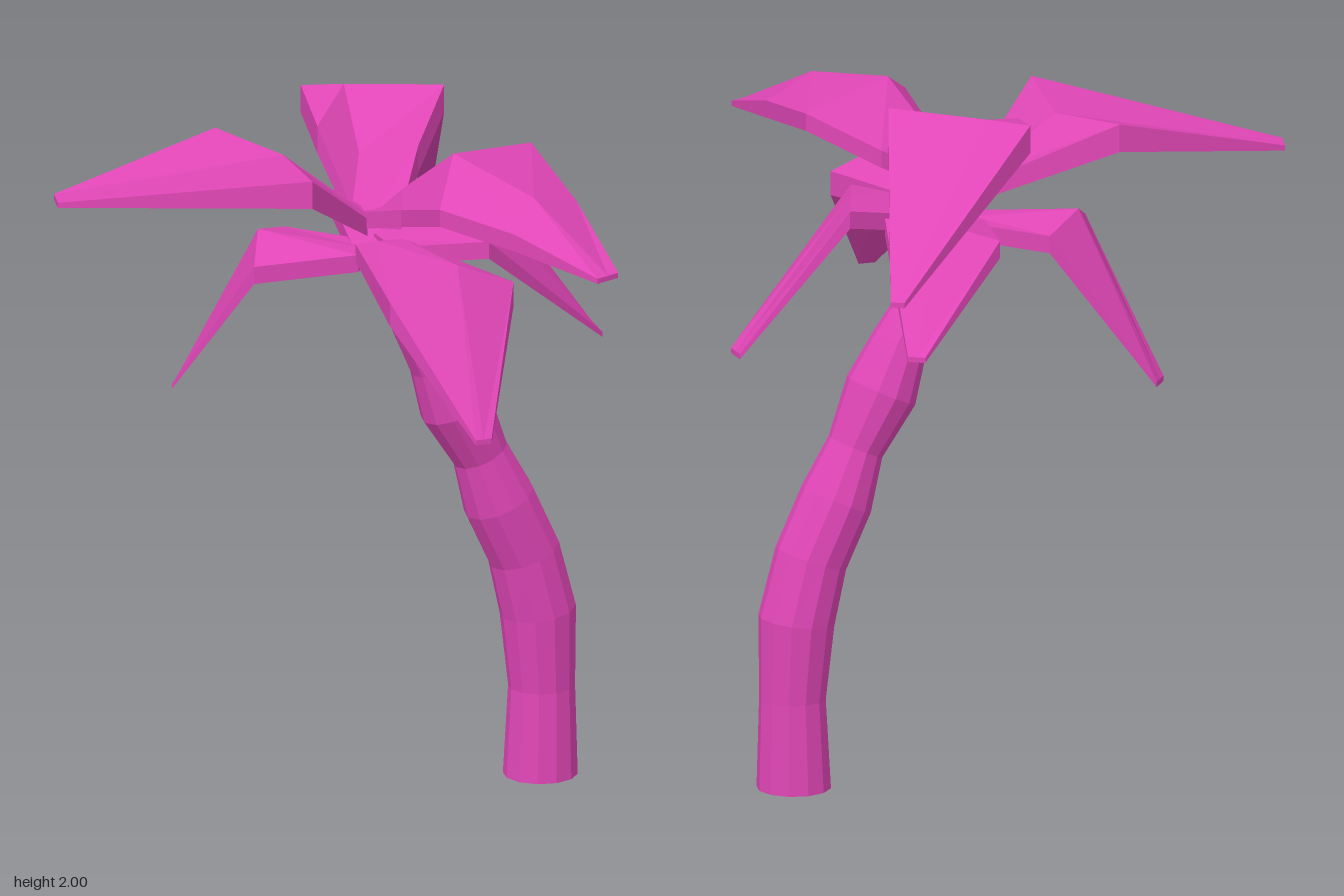
import * as THREE from 'three';

const pink = new THREE.MeshStandardMaterial({ color: 0xe046b6, flatShading: true, side: THREE.DoubleSide });
pink.name = 'pink';

const vec = (x, y, z) => new THREE.Vector3(x, y, z);
const crown = vec(0.09, 1.64, -0.13);

// Skins a list of equal-sized rings and caps both ends, with flat faces
function loft(rings, name) {
  const pos = [];
  const tri = (...corners) => corners.forEach((p) => pos.push(p.x, p.y, p.z));
  const n = rings[0].length;
  for (let i = 0; i + 1 < rings.length; i++) {
    for (let k = 0; k < n; k++) {
      const m = (k + 1) % n;
      tri(rings[i][k], rings[i][m], rings[i + 1][m]);
      tri(rings[i][k], rings[i + 1][m], rings[i + 1][k]);
    }
  }
  const cap = (ring) => {
    const mid = ring.reduce((s, p) => s.add(p), vec(0, 0, 0)).divideScalar(n);
    ring.forEach((p, k) => tri(mid, p, ring[(k + 1) % n]));
  };
  cap([...rings[0]].reverse());
  cap(rings[rings.length - 1]);
  const g = new THREE.BufferGeometry();
  g.setAttribute('position', new THREE.Float32BufferAttribute(pos, 3));
  g.computeVertexNormals();
  const mesh = new THREE.Mesh(g, pink);
  mesh.name = name;
  return mesh;
}

// Curved trunk: x, y and radius of each ring, tilted to follow the bend
function makeTrunk() {
  const stations = [
    [0.598, 0, 0.105], [0.602, 0.26, 0.094], [0.59, 0.485, 0.108], [0.546, 0.66, 0.104],
    [0.468, 0.825, 0.104], [0.41, 0.97, 0.081], [0.332, 1.125, 0.104], [0.274, 1.26, 0.08],
    [0.187, 1.41, 0.062], [0.09, 1.6, 0.055],
  ];
  const rings = stations.map(([x, y, r], i) => {
    const a = stations[Math.max(i - 1, 0)], b = stations[Math.min(i + 1, stations.length - 1)];
    const tilt = i === 0 ? 0 : Math.atan2(a[0] - b[0], b[1] - a[1]);
    return Array.from({ length: 12 }, (_, k) => {
      const t = (k / 12) * Math.PI * 2;
      const u = Math.cos(t) * r;
      return vec(x + u * Math.cos(tilt), y + u * Math.sin(tilt), -0.113 - Math.sin(t) * r);
    });
  });
  return loft(rings, 'trunk');
}

// Frond: narrow stem at the crown, one or two broad [left, ridge, right] rows, narrow tip
function makeFrond(name, { stemY, edge, tipHalf }, tip, ...broadRows) {
  const out = vec(tip.x - crown.x, 0, tip.z - crown.z).normalize();
  const left = vec(out.z, 0, -out.x);
  const narrowRow = (centre, half) => [half, 0, -half].map((s) => centre.clone().addScaledVector(left, s));
  const stem = crown.clone().setY(stemY).addScaledVector(out, 0.03);
  const thicken = (row, edgeDrop, ridgeDrop) => [
    ...row,
    ...row.map((p, k) => vec(p.x, p.y - (k === 1 ? ridgeDrop : edgeDrop), p.z)).reverse(),
  ];
  return loft([
    thicken(narrowRow(stem, 0.07), 0.05, 0.05),
    ...broadRows.map((row) => thicken(row, edge, 0.07)),
    thicken(narrowRow(tip, tipHalf), 0.015, 0.015),
  ], name);
}

export function createModel() {
  const tree = new THREE.Group();
  tree.name = 'palmTree';
  tree.add(makeTrunk());

  // Three high fronds
  tree.add(makeFrond('upperSideFrond', { stemY: 1.72, edge: 0.08, tipHalf: 0.04 }, vec(-0.77, 1.8, -0.4),
    [vec(-0.22, 1.92, 0.11), vec(-0.16, 1.9, -0.2), vec(-0.25, 1.92, -0.45)]));
  tree.add(makeFrond('upperBackFrond', { stemY: 1.71, edge: 0.08, tipHalf: 0.02 }, vec(0.562, 1.575, -0.77),
    [vec(0, 1.93, -0.31), vec(0.12, 1.84, -0.29), vec(0.27, 1.86, -0.22)],
    [vec(0.06, 1.975, -0.54), vec(0.16, 1.985, -0.47), vec(0.39, 2, -0.3)]));
  tree.add(makeFrond('upperFrontFrond', { stemY: 1.74, edge: 0.05, tipHalf: 0.04 }, vec(0.38, 1.75, 0.768),
    [vec(0.33, 1.82, -0.11), vec(0.13, 1.81, -0.03), vec(0.08, 1.78, 0.06)],
    [vec(0.5, 1.91, 0.03), vec(0.2, 1.955, 0.15), vec(0.07, 1.86, 0.33)],
    [vec(0.465, 1.85, 0.39), vec(0.3, 1.9, 0.46), vec(0.2, 1.83, 0.54)]));

  // Four low fronds
  tree.add(makeFrond('lowerSideFrond', { stemY: 1.63, edge: 0.05, tipHalf: 0.035 }, vec(0.772, 1.285, -0.105),
    [vec(0.51, 1.715, -0.31), vec(0.42, 1.7, -0.1), vec(0.33, 1.665, 0.11)]));
  tree.add(makeFrond('lowerFrontFrond', { stemY: 1.64, edge: 0.07, tipHalf: 0.024 }, vec(0.052, 1.28, 0.648),
    [vec(0.28, 1.63, 0.37), vec(0.11, 1.7, 0.36), vec(-0.1, 1.62, 0.36)]));
  tree.add(makeFrond('lowerBackRightFrond', { stemY: 1.61, edge: 0.05, tipHalf: 0.034 }, vec(-0.355, 1.18, -0.492),
    [vec(-0.26, 1.59, -0.18), vec(-0.18, 1.65, -0.32), vec(-0.05, 1.61, -0.42)]));
  tree.add(makeFrond('lowerBackLeftFrond', { stemY: 1.61, edge: 0.05, tipHalf: 0.025 }, vec(0.435, 1.36, -0.608),
    [vec(0.14, 1.64, -0.51), vec(0.28, 1.68, -0.4), vec(0.4, 1.68, -0.3)]));
  return tree;
}
